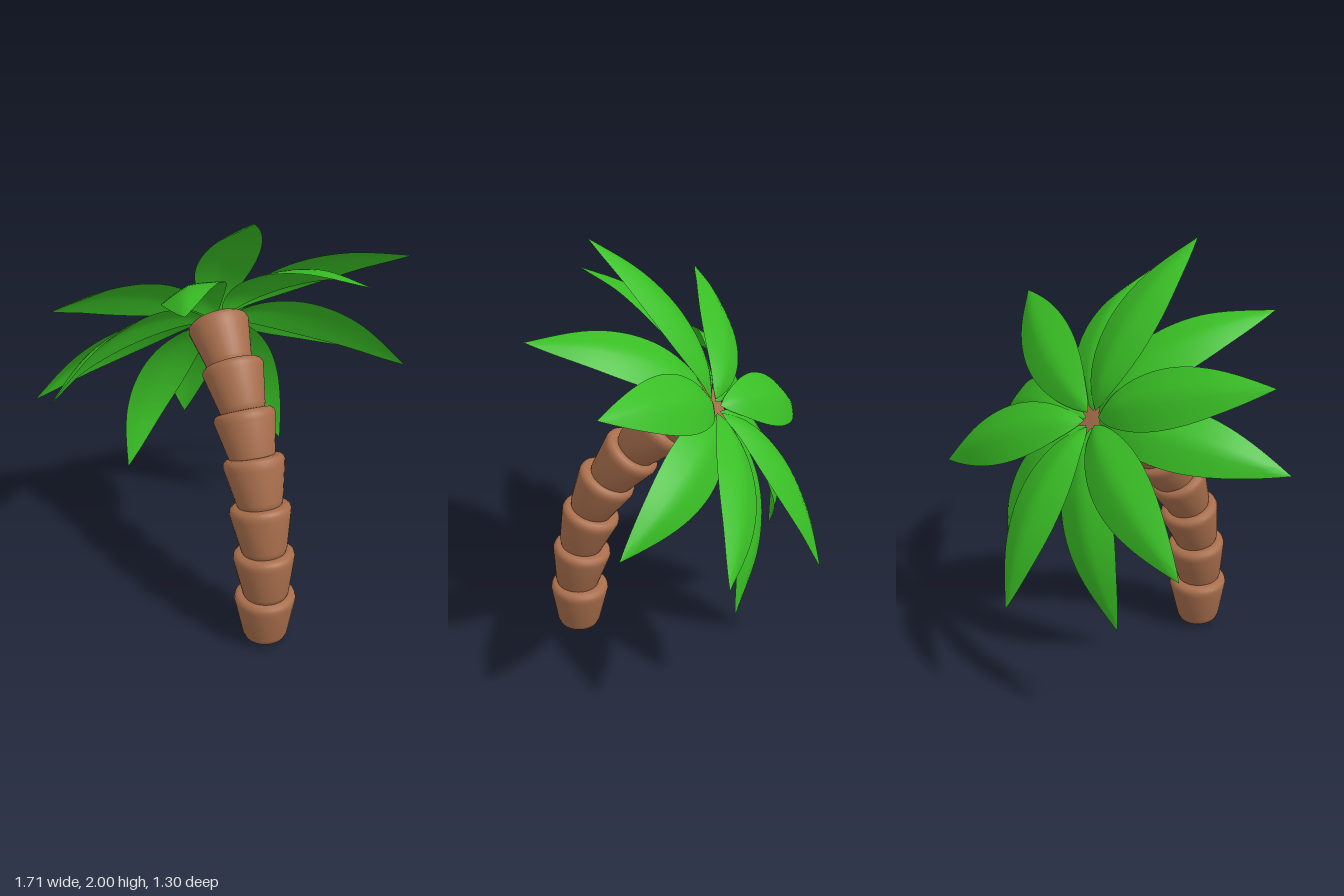
import * as THREE from 'three';
import { toCreasedNormals } from 'three/addons/utils/BufferGeometryUtils.js';

const rad = THREE.MathUtils.degToRad;

// Trunk ring: [z, y] of its top centre and backward tilt in degrees
const RINGS = [
  [0.518, 0.25, 3], [0.495, 0.463, 10], [0.44, 0.673, 18], [0.352, 0.868, 27],
  [0.227, 1.028, 36], [0.076, 1.185, 44], [-0.115, 1.303, 52],
];
const RING_HEIGHT = 0.25;

// Cup-shaped ring with rounded rim and base
function ringGeometry() {
  const profile = [
    [0, 0], [0.055, 0.001], [0.075, 0.008], [0.092, 0.022], [0.103, 0.046], [0.134, 0.2],
    [0.138, 0.222], [0.134, 0.238], [0.123, 0.248], [0.108, 0.25], [0, 0.25],
  ].map(([r, y]) => new THREE.Vector2(r, y));
  return toCreasedNormals(new THREE.LatheGeometry(profile, 32), rad(40));
}

// Thin leaf along +z: arched along its length, folded down either side of the midrib
function leafGeometry(path) {
  const curve = new THREE.CatmullRomCurve3(path.map(([z, y]) => new THREE.Vector3(0, y, z)));
  const rows = 24, half = 8, loop = half * 2;
  const width = 0.139, fold = 0.037, thickness = 0.012;
  const positions = [], indices = [];
  for (let i = 0; i <= rows; i++) {
    const t = i / rows;
    const p = curve.getPointAt(t), d = curve.getTangentAt(t);
    const swell = Math.max(0.01, Math.pow(Math.max(0, Math.sin(Math.PI * Math.pow(t, 0.85))), 0.93));
    for (let j = 0; j < loop; j++) {
      const under = j > half;
      const s = under ? -1 + (2 * (j - half)) / half : 1 - (2 * j) / half;
      const rise = 1 - Math.pow(Math.abs(s), 1.3);
      const h = swell * rise * (under ? fold - thickness : fold);
      positions.push(s * width * swell, p.y + d.z * h, p.z - d.y * h);
    }
  }
  for (let i = 0; i < rows; i++) {
    for (let j = 0; j < loop; j++) {
      const k = (j + 1) % loop;
      const a = i * loop + j, b = i * loop + k, c = a + loop, e = b + loop;
      indices.push(a, b, c, b, e, c);
    }
  }
  const geometry = new THREE.BufferGeometry();
  geometry.setAttribute('position', new THREE.Float32BufferAttribute(positions, 3));
  geometry.setIndex(indices);
  return toCreasedNormals(geometry, rad(28));
}

export function createModel() {
  const bark = new THREE.MeshStandardMaterial({ color: 0xa86e4c });
  const green = new THREE.MeshStandardMaterial({ color: 0x39be25, side: THREE.DoubleSide });
  const model = new THREE.Group();
  model.name = 'palmTree';

  // Bent trunk of stacked rings
  const trunk = new THREE.Group();
  trunk.name = 'trunk';
  trunk.position.x = -0.015;
  const ring = ringGeometry();
  RINGS.forEach(([z, y, tilt], i) => {
    const mesh = new THREE.Mesh(ring, bark);
    const a = rad(tilt);
    mesh.name = `trunkRing${i + 1}`;
    mesh.rotation.x = -a;
    mesh.position.set(0, y - RING_HEIGHT * Math.cos(a), z + RING_HEIGHT * Math.sin(a));
    trunk.add(mesh);
  });
  model.add(trunk);

  // Crown tilted with the trunk tip: six spread leaves and six drooping leaves
  const crown = new THREE.Group();
  crown.name = 'crown';
  crown.position.set(-0.008, 1.289, -0.142);
  crown.rotation.x = -rad(54);
  const layers = [
    { name: 'spreadLeaf', angles: [-2.6, 62.5, 121, 180, 241.5, 298],
      path: [[0.04, 0.01], [0.15, 0.05], [0.38, 0.065], [0.65, 0.035], [0.912, -0.04]] },
    { name: 'droopingLeaf', angles: [29, 98, 153, 206.5, 280, 334],
      path: [[0.04, 0], [0.15, 0.02], [0.35, -0.01], [0.62, -0.13], [0.865, -0.325]] },
  ];
  for (const { name, angles, path } of layers) {
    const leaf = leafGeometry(path);
    angles.forEach((angle, i) => {
      const mesh = new THREE.Mesh(leaf, green);
      mesh.name = `${name}${i + 1}`;
      mesh.rotation.y = rad(angle);
      crown.add(mesh);
    });
  }
  model.add(crown);
  return model;
}
